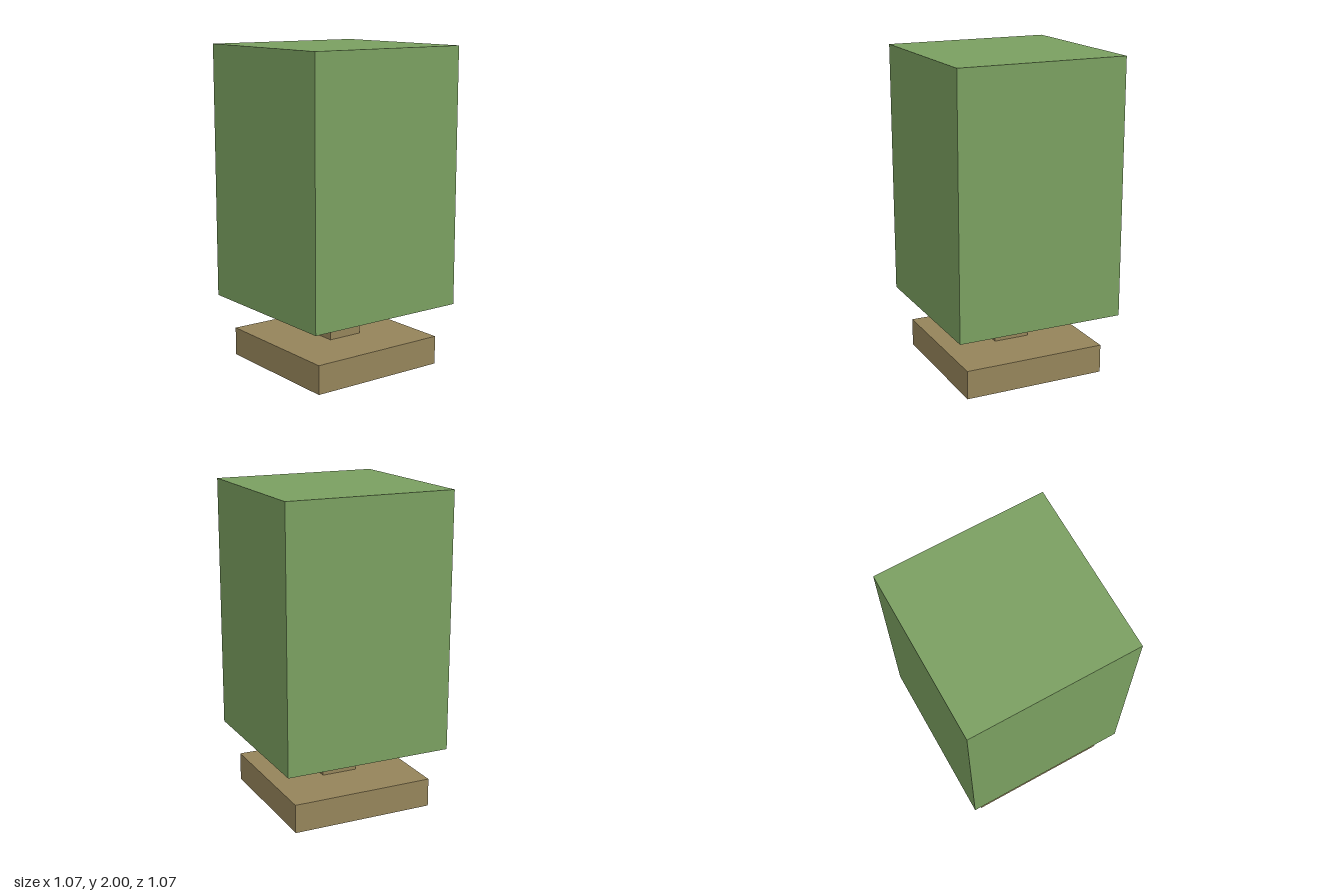
import * as THREE from 'three';

const SIDES = [0, 1, 4, 5]; // box face order: +x, -x, +y, -y, +z, -z
const TOP = 2;

// Box standing from y0 to y1 that keeps only the listed faces
function openBox(width, y0, y1, faces) {
  const geometry = new THREE.BoxGeometry(width, y1 - y0, width);
  const index = Array.from(geometry.index.array);
  geometry.setIndex(faces.flatMap((f) => index.slice(f * 6, f * 6 + 6)));
  geometry.clearGroups();
  geometry.translate(0, (y0 + y1) / 2, 0);
  return geometry;
}

export function createModel() {
  const leafGreen = new THREE.MeshStandardMaterial({ color: 0x7a9f60 });
  const barkBrown = new THREE.MeshStandardMaterial({ color: 0x95845a, side: THREE.DoubleSide });
  const undersideGrey = new THREE.MeshStandardMaterial({ color: 0xc8c8c8 });

  const group = new THREE.Group();
  const add = (name, geometry, material) => {
    const mesh = new THREE.Mesh(geometry, material);
    mesh.name = name;
    group.add(mesh);
  };

  // Hollow base, open underneath
  add('base', openBox(0.91, 0, 0.18, [...SIDES, TOP]), barkBrown);

  // Hollow trunk, passing through the top of the base
  add('trunk', openBox(0.23, 0.025, 0.396, SIDES), barkBrown);

  // Tall block of foliage with a grey underside
  const foliage = new THREE.BoxGeometry(1.066, 1.604, 1.066);
  foliage.translate(0, 1.198, 0);
  add('foliage', foliage, [leafGreen, leafGreen, leafGreen, undersideGrey, leafGreen, leafGreen]);

  return group;
}
